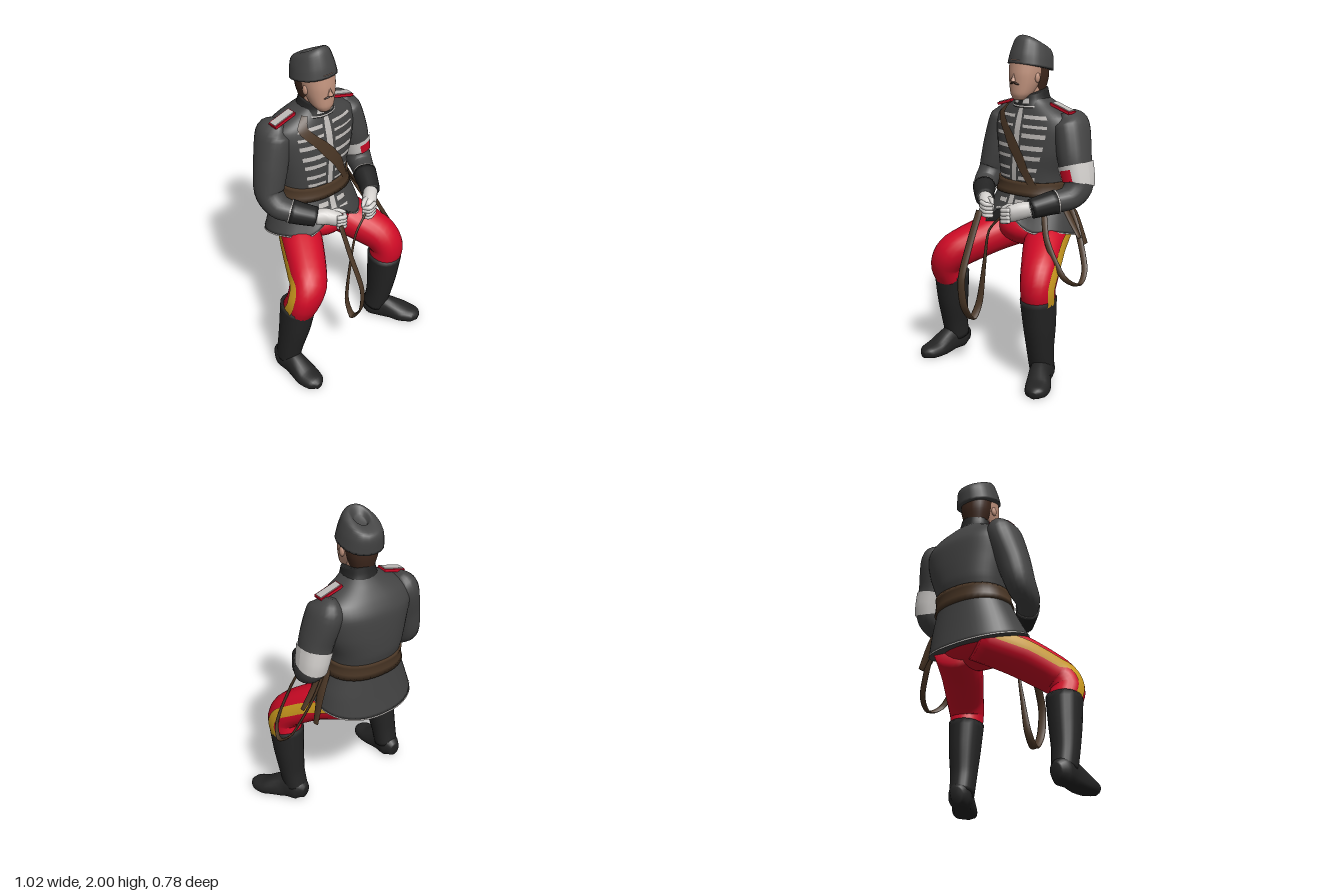
import * as THREE from 'three';

const paint = (name, color, side = THREE.FrontSide) => {
  const m = new THREE.MeshStandardMaterial({ color, side });
  m.name = name;
  return m;
};
const DEG = Math.PI / 180;

// Path of cross-sections; each point is [x, y, z, radiusU, radiusV, tilt].
// hem(angle) raises or lowers the first section.
function makePath(points, { hint = [1, 0, 0], upright = false, hem = () => 0 } = {}) {
  const curve = (f) => new THREE.CatmullRomCurve3(points.map(f), false, 'catmullrom', 0.4);
  return {
    last: points.length - 1, upright, hem, hint: new THREE.Vector3(...hint),
    pos: curve((p) => new THREE.Vector3(p[0], p[1], p[2])),
    rad: curve((p) => new THREE.Vector3(p[3], p[4], p[5] || 0)),
  };
}
// Limb path: joint positions paired with the radii both sides share.
const makeLimb = (joints, radii) => makePath(joints.map((p, i) => [...p, ...radii[i]]));

// Point on a path's surface: s counts path points, a is the angle in degrees.
function surfacePoint(path, s, a, grow) {
  const t = THREE.MathUtils.clamp(s / path.last, 0, 1);
  const c = path.pos.getPoint(t), r = path.rad.getPoint(t);
  let u = new THREE.Vector3(1, 0, 0), v = new THREE.Vector3(0, 0, 1);
  if (!path.upright) {
    const d = path.pos.getTangent(t);
    u = path.hint.clone().addScaledVector(d, -path.hint.dot(d)).normalize();
    v = u.clone().cross(d);
  }
  const soft = (k) => Math.sign(k) * Math.abs(k) ** 0.9;
  const cu = soft(Math.cos(a * DEG)), sv = soft(Math.sin(a * DEG));
  c.addScaledVector(u, cu * (r.x + grow)).addScaledVector(v, sv * (r.y + grow));
  c.y += r.z * sv + path.hem(a) * Math.max(0, 1 - s);
  return c;
}

// Skin over a path: whole tube, a sleeve of it, or a patch when arc is given.
function sweep(path, { from = 0, to = path.last, grow = 0, arc, sides = 20, floor } = {}) {
  const rows = Math.max(2, Math.ceil((to - from) * 5));
  const pos = [], idx = [], w = arc ? sides + 1 : sides;
  for (let i = 0; i <= rows; i++) {
    const s = from + (to - from) * i / rows;
    const [a0, a1] = arc ? arc(s) : [0, 360];
    for (let j = 0; j < w; j++) pos.push(...surfacePoint(path, s, a0 + (a1 - a0) * j / sides, grow).toArray());
  }
  for (let i = 0; i < rows; i++) for (let j = 0; j < sides; j++) {
    const a = i * w + j, b = i * w + (j + 1) % w;
    idx.push(a, a + w, b, b, a + w, b + w);
  }
  if (!arc) for (const [row, flip] of [[0, false], [rows, true]]) {
    const c = new THREE.Vector3(), n = pos.length / 3;
    for (let j = 0; j < w; j++) c.add(new THREE.Vector3().fromArray(pos, (row * w + j) * 3));
    pos.push(...c.divideScalar(w).toArray());
    for (let j = 0; j < w; j++) {
      const a = row * w + j, b = row * w + (j + 1) % w;
      idx.push(n, flip ? b : a, flip ? a : b);
    }
  }
  if (floor !== undefined) for (let k = 1; k < pos.length; k += 3) pos[k] = Math.max(floor, pos[k]);
  const g = new THREE.BufferGeometry();
  g.setAttribute('position', new THREE.Float32BufferAttribute(pos, 3));
  g.setIndex(idx);
  g.computeVertexNormals();
  return g;
}

export function createModel() {
  const wool = paint('charcoal wool', 0x444444), black = paint('black leather', 0x242424);
  const red = paint('red cloth', 0xd00a26), yellow = paint('yellow stripe', 0xcc9a1e);
  const leather = paint('brown leather', 0x4b3726, THREE.DoubleSide), skin = paint('skin', 0xc4957f);
  const hair = paint('dark hair', 0x40291e), glove = paint('white cloth', 0xd4d1ce);
  const braid = paint('grey braid', 0xbfbbb8, THREE.DoubleSide);

  const model = new THREE.Group();
  model.name = 'seatedRider';
  const add = (name, geometry, material, parent = model) => {
    const m = new THREE.Mesh(geometry, material);
    m.name = name;
    parent.add(m);
    return m;
  };
  const addGroup = (name) => {
    const g = new THREE.Group();
    g.name = name;
    model.add(g);
    return g;
  };
  const span = (a, b) => () => [a, b];

  // Jacket body with flared skirt, cut away at the front
  const bump = (a, centre, width) => Math.exp(-(((a - centre) / width) ** 2));
  const torso = makePath([
    [-0.025, 0.84, -0.15, 0.315, 0.235, 0.065], [-0.015, 0.95, -0.165, 0.28, 0.205, 0.03],
    [-0.01, 1.1, -0.18, 0.225, 0.178], [-0.01, 1.2, -0.19, 0.235, 0.188],
    [0, 1.32, -0.195, 0.27, 0.19], [0, 1.45, -0.2, 0.295, 0.18], [0, 1.53, -0.19, 0.27, 0.15],
    [0, 1.6, -0.17, 0.15, 0.11], [0, 1.64, -0.15, 0.09, 0.085]],
  { upright: true, hem: (a) => 0.085 * bump(a, 90, 16) - 0.035 * bump(Math.abs(a - 90), 38, 18) });
  add('jacket', sweep(torso, { sides: 48 }), wool);
  add('hemTrim', sweep(torso, { from: 0, to: 0.08, grow: 0.003, arc: span(0, 360), sides: 48 }), braid);
  add('frontTrim', sweep(torso, { from: 0, to: 7, grow: 0.004, arc: span(87, 93), sides: 2 }), braid);
  [0.9, 1.4, 2.65, 3.2, 3.75, 4.25, 4.75, 5.3, 6].forEach((s, i) => {
    const h = s > 5.8 ? 0.16 : 0.1, half = i < 2 ? 20 : 33 + i;
    for (const a of [90 - half, 96]) {
      add('braidRow', sweep(torso, { from: s - h, to: s + h, grow: 0.006, arc: span(a, a + half - 6), sides: 8 }), braid);
    }
  });
  add('waistBelt', sweep(torso, { from: 1.68, to: 2.45, grow: 0.012, sides: 36 }), leather);
  add('chestStrap', sweep(torso, {
    from: 2.1, to: 7.1, grow: 0.013, sides: 3,
    arc: (s) => [48 + (s - 2.1) * 17, 62 + (s - 2.1) * 17.5],
  }), leather);

  // Collar
  const collar = makePath([[0, 1.59, -0.15, 0.12, 0.11, -0.01], [0, 1.635, -0.147, 0.1, 0.098, -0.015],
    [0, 1.675, -0.145, 0.092, 0.09, -0.02]], { upright: true });
  add('collar', sweep(collar), black);
  add('collarTrim', sweep(collar, { from: 0.1, to: 0.3, grow: 0.003, arc: span(0, 360) }), braid);
  for (const a of [60, 98]) add('collarPatch', sweep(collar, { from: 0.6, to: 1.4, grow: 0.004, arc: span(a, a + 22), sides: 4 }), braid);

  // Head, hair and cap
  const headGroup = addGroup('head');
  headGroup.position.x = -0.012;
  const column = (points) => sweep(makePath(points.map((p) => [0, ...p]), { upright: true }));
  add('face', column([[1.625, -0.05, 0.036, 0.034], [1.66, -0.068, 0.064, 0.066],
    [1.72, -0.09, 0.084, 0.09], [1.78, -0.105, 0.094, 0.106], [1.86, -0.12, 0.098, 0.112]]), skin, headGroup);
  add('neck', new THREE.CylinderGeometry(0.068, 0.07, 0.16, 18).translate(0, 1.65, -0.135), skin, headGroup);
  add('hair', column([[1.665, -0.17, 0.068, 0.06], [1.75, -0.165, 0.092, 0.085], [1.86, -0.155, 0.1, 0.098]]), hair, headGroup);
  add('nose', new THREE.ConeGeometry(0.017, 0.055, 6).rotateX(-0.2).translate(0, 1.762, 0.002), skin, headGroup);
  for (const k of [-1, 1]) {
    add('moustache', new THREE.SphereGeometry(1, 10, 6).scale(0.022, 0.006, 0.008).rotateY(k * 0.4).rotateZ(-k * 0.3)
      .translate(k * 0.018, 1.724, -0.002), hair, headGroup);
    add('ear', new THREE.SphereGeometry(1, 10, 8).scale(0.012, 0.03, 0.02).translate(k * 0.092, 1.755, -0.105), skin, headGroup);
  }
  add('cap', column([[1.81, -0.142, 0.128, 0.138, 0.03], [1.88, -0.152, 0.115, 0.134, 0.02],
    [1.938, -0.16, 0.094, 0.11, 0.04], [1.962, -0.145, 0.056, 0.062, 0.036], [1.925, -0.15, 0.03, 0.035, 0.02]]), wool, headGroup);

  // Arms, cuffs and gloved hands; side 1 is the model's left
  const armRadii = [[0.03, 0.05], [0.085, 0.118], [0.092, 0.108], [0.08, 0.094], [0.072, 0.07], [0.06, 0.06], [0.05, 0.05]];
  const arms = [
    { side: 1, name: 'left', hand: [0.14, 1, 0.175], lower: [[0.345, 1.15, -0.175], [0.335, 1.08, -0.11], [0.28, 1.055, 0], [0.225, 1.03, 0.1]] },
    { side: -1, name: 'right', hand: [-0.09, 1, 0.145], lower: [[-0.345, 1.15, -0.155], [-0.335, 1.08, -0.08], [-0.27, 1.05, 0], [-0.185, 1.02, 0.075]] },
  ];
  for (const { side, name, hand: [hx, hy, hz], lower } of arms) {
    const g = addGroup(name + 'Arm');
    const upper = [[side * 0.235, 1.565, -0.195], [side * 0.262, 1.49, -0.205], [side * 0.308, 1.31, -0.178]];
    const arm = makeLimb([...upper, ...lower], armRadii);
    add('sleeve', sweep(arm), wool, g);
    add('cuff', sweep(arm, { from: 4.7, to: 6, grow: 0.007 }), black, g);
    add('cuffTrim', sweep(arm, { from: 4.64, to: 4.71, grow: 0.008, arc: span(0, 360) }), braid, g);
    if (side > 0) {
      add('armband', sweep(arm, { from: 2.25, to: 3, grow: 0.007, arc: span(0, 360) }), glove, g);
      add('armbandPatch', sweep(arm, { from: 2.38, to: 2.84, grow: 0.011, arc: span(-108, -66), sides: 6 }), red, g);
    }
    const w = lower[3];
    add('palm', sweep(makePath([[...w, 0.042, 0.045], [(w[0] + hx) / 2, hy + 0.018, (w[2] + hz) / 2, 0.044, 0.052],
      [hx, hy, hz, 0.04, 0.05], [hx - side * 0.02, hy - 0.005, hz + 0.025, 0.024, 0.038]])), glove, g);
    // Curled digit given by offsets from the hand, x measured outwards
    const digit = (label, points) => add(label, sweep(makePath(
      points.map(([x, y, z, r]) => [hx + side * x, hy + y, hz + z, r, r]), { hint: [0, 1, 0] }), { sides: 8 }), glove, g);
    for (let i = 0; i < 4; i++) {
      const y = 0.03 - 0.022 * i;
      digit('finger', [[0.02, y, 0.035, 0.013], [-0.03, y - 0.008, 0.044, 0.014], [-0.055, y - 0.014, 0.008, 0.011]]);
    }
    digit('thumb', [[0.025, 0.035, -0.02, 0.02], [-0.025, 0.04, -0.01, 0.016], [-0.06, 0.025, 0.015, 0.01]]);
    // Shoulder board: red base with a grey top
    const board = addGroup(name + 'ShoulderBoard');
    board.position.set(side * 0.218, 1.584, -0.172);
    board.rotation.z = -side * 0.28;
    add('boardBase', new THREE.BoxGeometry(0.15, 0.016, 0.064), red, board);
    add('boardTop', new THREE.BoxGeometry(0.138, 0.008, 0.048).translate(0, 0.009, 0), braid, board);
  }

  // Breeches, stripes and tall boots
  add('seatOfBreeches', new THREE.SphereGeometry(1, 24, 16).scale(0.2, 0.12, 0.2).translate(0, 0.85, -0.14), red);
  const legRadii = [[0.12, 0.12], [0.125, 0.115], [0.11, 0.11], [0.1, 0.1], [0.094, 0.098]];
  const bootRadii = [[0.102, 0.108], [0.09, 0.096], [0.077, 0.08], [0.07, 0.075]];
  const footRadii = [[0.035, 0.045], [0.068, 0.08], [0.062, 0.085], [0.075, 0.055], [0.059, 0.04], [0.02, 0.02]];
  const footHeights = [0.055, 0.065, 0.06, 0.03, 0.026, 0.02];
  const legs = [
    { name: 'left', out: 2,
      leg: [[0.09, 0.845, -0.24], [0.195, 0.775, -0.05], [0.3, 0.675, 0.1], [0.33, 0.59, 0.15], [0.325, 0.5, 0.14]],
      boot: [[0.325, 0.525, 0.14], [0.322, 0.35, 0.125], [0.315, 0.2, 0.11], [0.305, 0.08, 0.085]],
      foot: [[0.28, 0.01], [0.3, 0.06], [0.345, 0.14], [0.42, 0.24], [0.455, 0.305], [0.468, 0.335]] },
    { name: 'right', out: 178,
      leg: [[-0.09, 0.845, -0.24], [-0.215, 0.78, -0.02], [-0.335, 0.68, 0.18], [-0.39, 0.59, 0.205], [-0.4, 0.5, 0.165]],
      boot: [[-0.4, 0.525, 0.16], [-0.415, 0.35, 0.14], [-0.43, 0.2, 0.115], [-0.435, 0.08, 0.09]],
      foot: [[-0.44, 0], [-0.44, 0.06], [-0.438, 0.15], [-0.434, 0.27], [-0.43, 0.35], [-0.43, 0.385]] },
  ];
  for (const { name, out, leg, boot, foot } of legs) {
    const g = addGroup(name + 'Leg');
    const path = makeLimb(leg, legRadii);
    add('breeches', sweep(path), red, g);
    add('sideStripe', sweep(path, { from: 0.3, to: 4, grow: 0.005, arc: span(out - 14, out + 14), sides: 5 }), yellow, g);
    add('bootShaft', sweep(makeLimb(boot, bootRadii)), black, g);
    add('bootFoot', sweep(makeLimb(foot.map(([x, z], i) => [x, footHeights[i], z]), footRadii), { floor: 0 }), black, g);
  }

  // Straps: points are [x, y, z, half width]
  const strap = (name, points, hint) => add(name, sweep(makePath(points.map((p) => [...p, 0.007]), { hint }), { sides: 8 }), leather);
  strap('rein', [[-0.1, 0.98, 0.2, 0.022], [-0.095, 0.8, 0.285, 0.023], [-0.08, 0.6, 0.37, 0.024], [-0.075, 0.43, 0.36, 0.026],
    [-0.08, 0.33, 0.29, 0.026], [-0.075, 0.43, 0.23, 0.022], [-0.04, 0.68, 0.22, 0.012], [0, 0.88, 0.22, 0.007], [0.11, 1, 0.2, 0.007]], [1, 0, -0.4]);
  strap('sideLoop', [[0.26, 1.02, 0.03, 0.018], [0.33, 0.85, 0.075, 0.018], [0.44, 0.66, 0.06, 0.018], [0.485, 0.6, -0.03, 0.018],
    [0.45, 0.68, -0.12, 0.018], [0.34, 0.9, -0.17, 0.018], [0.25, 1.07, -0.17, 0.018]], [1, 0.3, -0.6]);
  strap('beltTail', [[0.22, 1.09, -0.17, 0.025], [0.3, 0.95, -0.2, 0.032], [0.36, 0.78, -0.23, 0.022]], [0, 0, 1]);
  strap('beltTail', [[0.22, 1.09, -0.13, 0.02], [0.31, 0.95, -0.14, 0.026], [0.39, 0.84, -0.14, 0.016]], [0, 0, 1]);
  return model;
}
